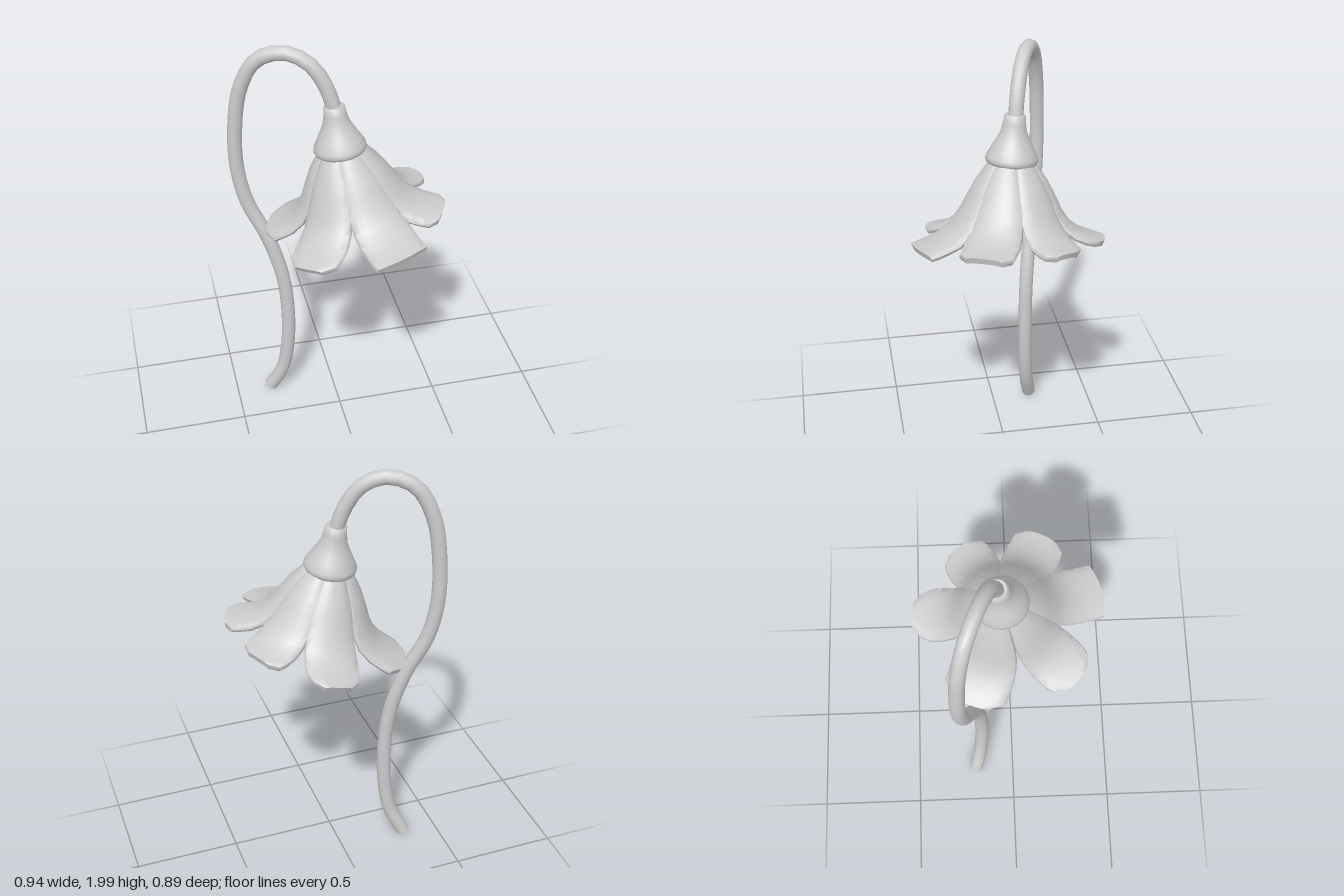
import * as THREE from 'three';
import { toCreasedNormals } from 'three/addons/utils/BufferGeometryUtils.js';

const material = new THREE.MeshStandardMaterial({ color: 0xcccccc });

function part(name, geometry) {
  const mesh = new THREE.Mesh(geometry, material);
  mesh.name = name;
  return mesh;
}

function lathe(points, segments = 24) {
  const geo = new THREE.LatheGeometry(points.map(([r, y]) => new THREE.Vector2(r, y)), segments);
  return toCreasedNormals(geo, 0.8);
}

// Petal rows from calyx to tip: radius, depth below the calyx rim, half width
const ROWS = [
  [0.085, -0.02, 0.045], [0.12, 0.03, 0.065], [0.168, 0.1, 0.09], [0.204, 0.17, 0.108],
  [0.238, 0.24, 0.12], [0.275, 0.295, 0.126], [0.325, 0.335, 0.128], [0.37, 0.358, 0.124],
  [0.405, 0.374, 0.104], [0.43, 0.385, 0.062],
];

// A thin box bent along the rows and around the flower axis
function petalGeometry({ deg, widen, reach, lift, tip }) {
  const azimuth = THREE.MathUtils.degToRad(deg);
  const last = ROWS.length - 1;
  const geo = new THREE.BoxGeometry(2, 1, 1, 8, 2, last);
  const pos = geo.attributes.position;
  for (let i = 0; i < pos.count; i++) {
    const u = pos.getX(i), t = pos.getY(i);
    const k = Math.round((pos.getZ(i) + 0.5) * last);
    const [r0, depth, width] = ROWS[k];
    const a = ROWS[Math.max(k - 1, 0)], b = ROWS[Math.min(k + 1, last)];
    const normal = new THREE.Vector2(b[1] - a[1], b[0] - a[0]).normalize();
    // rounded rim: the outer and inner skins stop short of the middle line
    const rim = t === 0 ? 1 : 0.94;
    const half = k > 7 ? Math.min(width * tip, 0.122) : width;
    const offset = (t - 0.5) * 0.028 - 0.01 * u ** 4;
    const along = (k / last) ** 2;
    const r = r0 * (1 + (reach - 1) * along) + normal.x * offset;
    const y = -depth + lift * along + normal.y * offset;
    const angle = azimuth - u * rim * widen * half / r0;
    pos.setXYZ(i, r * Math.cos(angle), y, r * Math.sin(angle));
  }
  return toCreasedNormals(geo, 0.9);
}

// Azimuth in degrees, width factor, reach factor, lift of the tip, width factor of the tip
const PETALS = [
  { deg: -86, widen: 1.04, reach: 1.02, lift: 0.03, tip: 1 },
  { deg: -31, widen: 1.04, reach: 0.92, lift: 0.035, tip: 1.1 },
  { deg: 26, widen: 1.08, reach: 0.97, lift: 0.03, tip: 1.35 },
  { deg: 76, widen: 1.06, reach: 1.06, lift: 0.01, tip: 1.9 },
  { deg: 134, widen: 1.08, reach: 1.03, lift: 0.025, tip: 1.1 },
  { deg: -155, widen: 1.28, reach: 1.02, lift: 0.01, tip: 1.2 },
];

export function createModel() {
  const model = new THREE.Group();
  model.name = 'flowerLamp';

  // Stem: a hooked curve lying in one slanted upright plane
  const path = [
    [-0.325, 0.02], [-0.265, 0.15], [-0.236, 0.32], [-0.23, 0.55], [-0.25, 0.76], [-0.315, 0.99],
    [-0.395, 1.17], [-0.432, 1.36], [-0.43, 1.58], [-0.398, 1.78], [-0.325, 1.92], [-0.21, 1.964],
    [-0.11, 1.92], [-0.045, 1.82], [-0.014, 1.72], [-0.005, 1.66],
  ].map(([x, y]) => new THREE.Vector3(x, y, -0.06 + 0.43 * (x + 0.01)));
  const curve = new THREE.CatmullRomCurve3(path);
  model.add(part('stem', new THREE.TubeGeometry(curve, 44, 0.034, 14)));
  const cap = part('stemEnd', new THREE.CircleGeometry(0.034, 14));
  cap.position.copy(path[0]);
  cap.quaternion.setFromUnitVectors(new THREE.Vector3(0, 0, 1), curve.getTangent(0).negate());
  model.add(cap);

  // Flower head, tilted; its origin is the centre of the calyx rim
  const head = new THREE.Group();
  head.name = 'flowerHead';
  head.position.set(0.01, 1.525, -0.04);
  head.quaternion.setFromUnitVectors(
    new THREE.Vector3(0, 1, 0), new THREE.Vector3(-0.2, 0.97, -0.06).normalize());
  model.add(head);

  // Calyx, a little more upright than the petals
  const calyx = part('calyx', lathe([
    [0, -0.015], [0.1, -0.02], [0.114, -0.014], [0.121, 0], [0.118, 0.016], [0.1, 0.05],
    [0.078, 0.09], [0.061, 0.125], [0.052, 0.165], [0.048, 0.202], [0.043, 0.207], [0, 0.203],
  ]));
  calyx.rotation.set(-0.03, 0, -0.09);
  head.add(calyx);

  PETALS.forEach((petal, i) => head.add(part('petal' + (i + 1), petalGeometry(petal))));

  // Lamp socket with a broad rounded lip, and bulb
  head.add(part('socket', lathe([
    [0, -0.185], [0.075, -0.19], [0.09, -0.215], [0.104, -0.23], [0.118, -0.233], [0.131, -0.226],
    [0.136, -0.21], [0.13, -0.17], [0.09, -0.02], [0, -0.02],
  ])));
  const bulb = part('bulb', new THREE.SphereGeometry(0.055, 20, 14));
  bulb.position.y = -0.2;
  bulb.scale.y = 0.8;
  head.add(bulb);

  return model;
}
